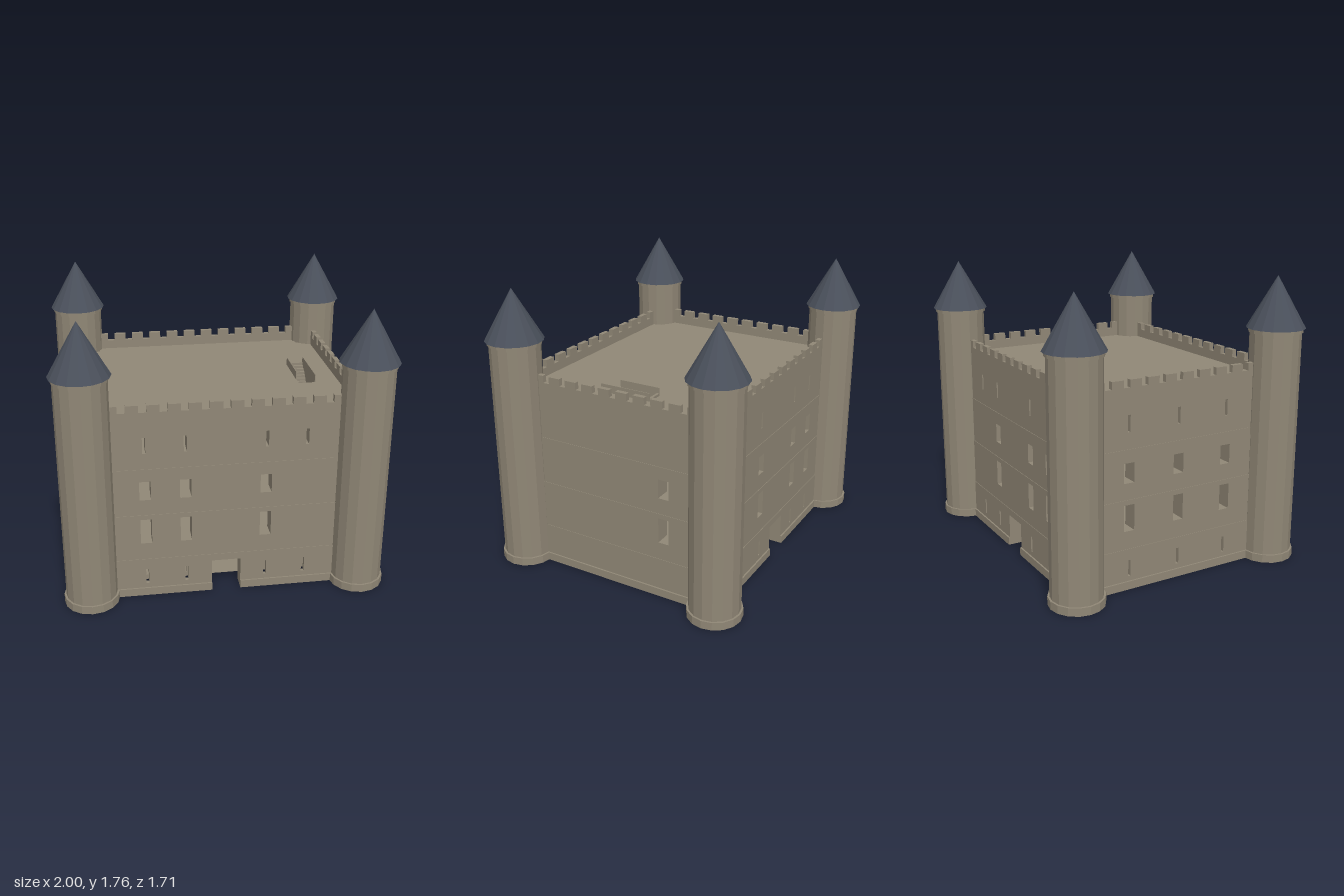
import * as THREE from 'three';

const stone = new THREE.MeshStandardMaterial({ color: 0x908776 });
stone.name = 'stone';
const slate = new THREE.MeshStandardMaterial({ color: 0x4a505b });
slate.name = 'slate';

const TX = 0.823, TZ = 0.678;            // tower centres
const LEVELS = [0, 0.25, 0.55, 0.85, 1.15];
const WALL = 0.1;
const GROUND = 0.05;                     // ground floor height
const HATCH = { x0: 0.53, x1: 0.635, z0: -0.14, z1: 0.2 };

function add(parent, geometry, material, name, x = 0, y = 0, z = 0) {
  const mesh = new THREE.Mesh(geometry, material);
  mesh.name = name;
  mesh.position.set(x, y, z);
  parent.add(mesh);
  return mesh;
}

function box(parent, name, w, h, d, x, y, z) {
  return add(parent, new THREE.BoxGeometry(w, h, d), stone, name, x, y, z);
}

function faceted(geometry) {
  const flat = geometry.toNonIndexed();
  flat.computeVertexNormals();
  return flat;
}

function polygon(points) {
  return new THREE.Shape(points.map(([x, y]) => new THREE.Vector2(x, y)));
}

function rect(x0, y0, x1, y1) {
  return polygon([[x0, y0], [x1, y0], [x1, y1], [x0, y1]]);
}

function extrude(shape, depth) {
  return new THREE.ExtrudeGeometry(shape, { depth, bevelEnabled: false });
}

// Openings of each storey: height range and width
const OPENINGS = [
  { y0: 0.08, y1: 0.18, w: 0.018 },
  { y0: 0.36, y1: 0.52, w: 0.068 },
  { y0: 0.65, y1: 0.77, w: 0.068 },
  { y0: 0.95, y1: 1.05, w: 0.018 },
];

// Outline of one wall storey with its openings and an optional doorway
function storeyShape(i, half, y0, columns, door) {
  const y1 = LEVELS[i + 1], o = OPENINGS[i];
  const notch = door ? [[-0.088, y0], [-0.088, 0.205], [0.088, 0.205], [0.088, y0]] : [];
  const shape = polygon([[-half, y0], ...notch, [half, y0], [half, y1], [-half, y1]]);
  for (const x of columns) {
    shape.holes.push(rect(x - o.w / 2, o.y0, x + o.w / 2, o.y1));
  }
  return shape;
}

// One curtain wall, facing +z before it is turned into place
function curtainWall(name, half, out, angle, columns, door, pitch) {
  const wall = new THREE.Group();
  wall.name = name;
  wall.rotation.y = angle;

  // Ground storey: two skins with a gap that is open below
  const outer = storeyShape(0, half, 0, columns[0], door);
  const inner = storeyShape(0, half, GROUND, columns[0], door);
  add(wall, extrude(outer, 0.025), stone, 'outerSkin', 0, 0, out - 0.025);
  add(wall, extrude(inner, 0.01), stone, 'innerSkin', 0, 0, out - WALL);

  // Upper storeys, each set back slightly from the one below
  for (let i = 1; i < OPENINGS.length; i++) {
    const shape = storeyShape(i, half, LEVELS[i], columns[i], false);
    add(wall, extrude(shape, WALL), stone, 'wallStorey', 0, 0, out - i * 0.003 - WALL);
  }

  // Plinth and ribs, with jambs and a lintel around a doorway
  for (const s of [-1, 1]) {
    const start = door ? 0.088 : 0, w = half - start;
    box(wall, 'plinth', w, 0.05, 0.02, s * (start + w / 2), 0.025, out);
    box(wall, 'rib', 0.01, 0.25, WALL - 0.01, s * 0.36, 0.125, out - WALL / 2);
    if (door) box(wall, 'doorJamb', 0.01, 0.205, WALL, s * 0.093, 0.1025, out - WALL / 2);
  }
  if (door) box(wall, 'lintel', 0.196, 0.01, WALL, 0, 0.21, out - WALL / 2);

  // Parapet and battlements
  const pz = out - 0.024;
  box(wall, 'parapet', half * 2, 0.056, 0.03, 0, 1.178, pz);
  for (let x = pitch / 2; x - 0.0375 < half; x += pitch) {
    const x0 = x - 0.0375, x1 = Math.min(x + 0.0375, half);
    for (const s of [-1, 1]) {
      box(wall, 'merlon', x1 - x0, 0.044, 0.03, s * (x0 + x1) / 2, 1.228, pz);
    }
  }
  return wall;
}

// Round corner tower with a hollow foot and a conical roof
function tower(x, z) {
  const group = new THREE.Group();
  group.name = 'cornerTower';
  group.position.set(x, 0, z);
  const profile = [
    [0, 0.24], [0.143, 0.24], [0.143, 0], [0.167, 0], [0.167, 0.05], [0.155, 0.05],
    [0.155, 1.425], [0.163, 1.425], [0.163, 1.455], [0, 1.455],
  ].map(([r, y]) => new THREE.Vector2(r, y));
  add(group, faceted(new THREE.LatheGeometry(profile, 16)), stone, 'towerBody');
  add(group, faceted(new THREE.ConeGeometry(0.177, 0.31, 16)), slate, 'towerRoof', 0, 1.605, 0);
  return group;
}

// Floor slab with an optional stair opening
function floorSlab(name, top, thickness, hatch) {
  const x = 0.825 - WALL, z = 0.682 - WALL;
  const shape = rect(-x, -z, x, z);
  if (hatch) shape.holes.push(rect(HATCH.x0, -HATCH.z1, HATCH.x1, -HATCH.z0));
  const geometry = extrude(shape, thickness);
  geometry.rotateX(-Math.PI / 2);
  const mesh = new THREE.Mesh(geometry, stone);
  mesh.name = name;
  mesh.position.y = top - thickness;
  return mesh;
}

// Straight flight rising towards the back
function stairFlight(y0, y1) {
  const group = new THREE.Group();
  group.name = 'stairFlight';
  const n = 20, run = (HATCH.z1 - HATCH.z0) / n, rise = (y1 + 0.015 - y0) / n;
  const mid = (HATCH.x0 + HATCH.x1) / 2;
  for (let i = 0; i < n; i++) {
    box(group, 'step', HATCH.x1 - HATCH.x0, rise, run, mid, y0 + (i + 0.5) * rise, HATCH.z1 - (i + 0.5) * run);
  }
  // Low walls on both sides of the opening
  for (const [x, z1] of [[HATCH.x0, 0.13], [HATCH.x1, HATCH.z1]]) {
    box(group, 'stairRail', 0.005, 0.07, z1 - HATCH.z0, x, y1 + 0.015, (z1 + HATCH.z0) / 2);
  }
  return group;
}

export function createModel() {
  const castle = new THREE.Group();
  castle.name = 'castle';

  // Curtain walls
  const slits = [-0.483, -0.243, 0.24, 0.48];
  const front = [-0.483, -0.243, 0.238];
  const back = front.map((x) => -x);
  const backSlits = slits.map((x) => -x);
  const side = [-0.335, 0, 0.335];
  castle.add(
    curtainWall('frontWall', 0.69, 0.682, 0, [slits, front, front, slits], true, 0.121),
    curtainWall('backWall', 0.69, 0.682, Math.PI, [backSlits, back, back, backSlits], true, 0.121),
    curtainWall('leftWall', 0.55, 0.825, Math.PI / 2, [[], [0.335], [0.335], []], false, 0.117),
    curtainWall('rightWall', 0.55, 0.825, -Math.PI / 2, [side, side, side, side], false, 0.117),
  );

  // Corner towers
  for (const sx of [-1, 1]) {
    for (const sz of [-1, 1]) castle.add(tower(sx * TX, sz * TZ));
  }

  // Floors, roof deck and stairs; the deck reaches under the parapets
  castle.add(floorSlab('groundFloor', GROUND, 0.001, false));
  for (let i = 1; i < LEVELS.length; i++) {
    castle.add(floorSlab(i === 4 ? 'roofDeck' : 'floor', LEVELS[i], 0.02, true));
    castle.add(stairFlight(i === 1 ? GROUND : LEVELS[i - 1], LEVELS[i]));
  }

  // Inner partition beside the stairwell
  box(castle, 'partition', 0.02, 0.28, 0.2, 0.5, 0.69, -0.335);
  return castle;
}
